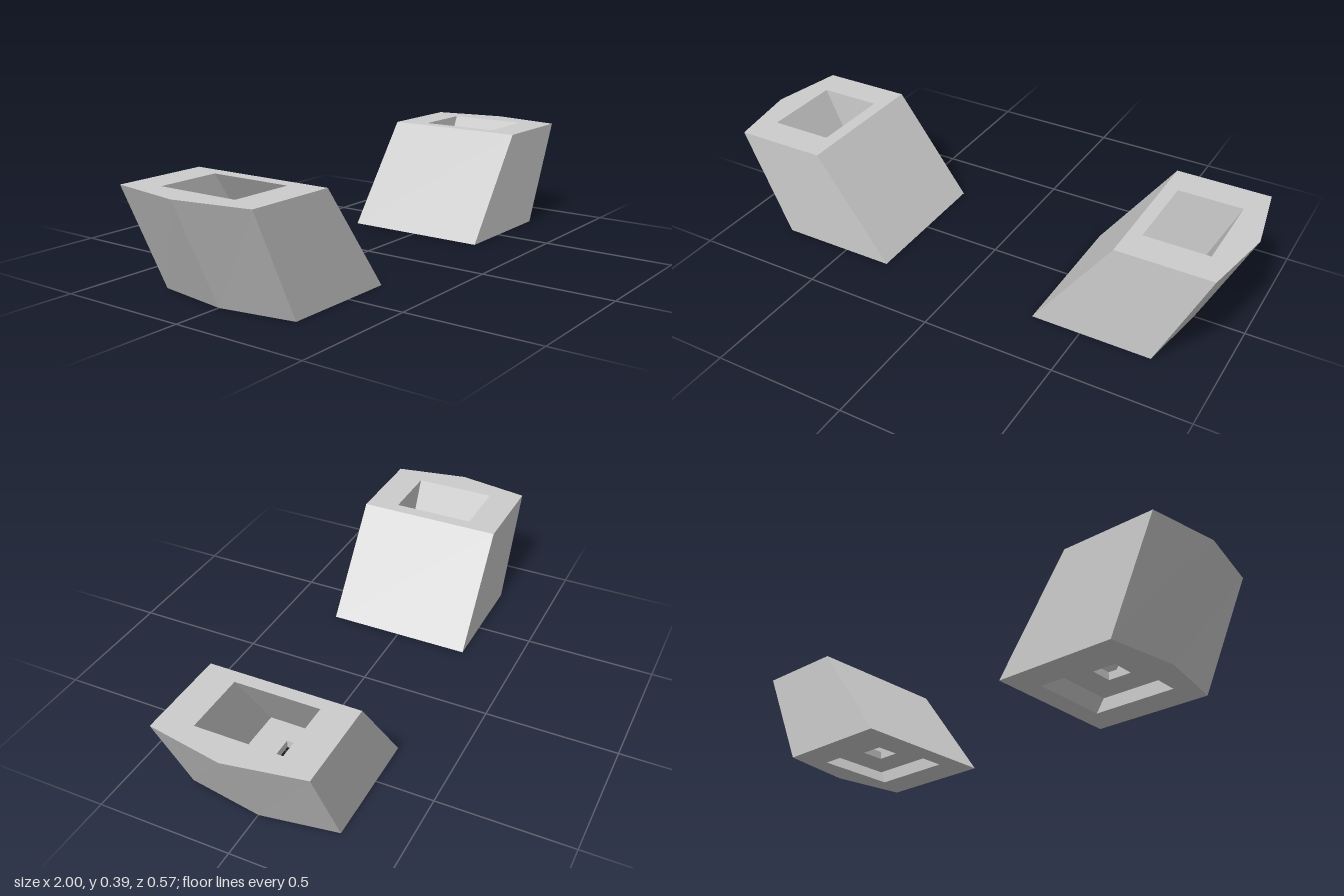
import * as THREE from 'three';

const HEIGHT = 0.393;

// Closed loop of [x, z] corners at height y, walked from the inner back corner.
const loop = (y, corners) => corners.map(([x, z]) => new THREE.Vector3(x, y, z));
const rect = (y, x0, x1, z) => loop(y, [[x0, -z], [x0, z], [x1, z], [x1, -z]]);
const pentagon = (y, x0, x1, tip, z) =>
  loop(y, [[x0, -z], [x0, z], [x1, z], [tip, 0], [x1, -z]]);

// Slanted shaft section at height y.
function shaft(y) {
  const t = y / HEIGHT;
  return rect(y, THREE.MathUtils.lerp(0.39, 0.65, t), THREE.MathUtils.lerp(0.71, 0.89, t), 0.158);
}

function mesh(name, triangles, material) {
  const geometry = new THREE.BufferGeometry().setFromPoints(triangles);
  geometry.computeVertexNormals();
  const m = new THREE.Mesh(geometry, material);
  m.name = name;
  return m;
}

// Walls between two loops: low to high faces outward, high to low faces inward.
function walls(a, b) {
  return a.flatMap((p, i) => {
    const j = (i + 1) % a.length;
    return [p, a[j], b[j], p, b[j], b[i]];
  });
}

// Flat face with an opening, facing up or down.
function face(outer, hole, up) {
  const flat = (l) => l.map((p) => new THREE.Vector2(p.x, p.z));
  const points = [...outer, ...hole];
  return THREE.ShapeUtils.triangulateShape(flat(outer), [flat(hole)]).flatMap((ids) => {
    const [a, b, c] = ids.map((i) => points[i]);
    const normalY = b.clone().sub(a).cross(c.clone().sub(a)).y;
    return (normalY > 0) === up ? [a, b, c] : [a, c, b];
  });
}

export function createModel() {
  const material = new THREE.MeshStandardMaterial({ color: 0xcccccc, flatShading: true });
  const floorY = 0.08;
  const recessY = 0.05;

  const bottom = pentagon(0, 0.313, 0.767, 0.813, 0.284);
  const top = pentagon(HEIGHT, 0.6, 0.95, 1, 0.281);
  const holeLow = rect(recessY, 0.527, 0.617, 0.046);
  const holeHigh = rect(floorY, 0.527, 0.617, 0.046);

  const block = new THREE.Group();
  block.name = 'leftBlock';
  block.add(
    // Leaning five-sided body
    mesh('outerWalls', walls(bottom, top), material),
    mesh('topRim', face(top, shaft(HEIGHT), true), material),
    mesh('bottomRim', face(bottom, shaft(0), false), material),
    // Deep slanted pocket from above
    mesh('pocketWalls', walls(shaft(HEIGHT), shaft(floorY)), material),
    mesh('pocketFloor', face(shaft(floorY), holeHigh, true), material),
    // Shallow recess underneath, with a small square hole through the floor
    mesh('recessWalls', walls(shaft(recessY), shaft(0)), material),
    mesh('recessCeiling', face(shaft(recessY), holeLow, false), material),
    mesh('floorHole', walls(holeHigh, holeLow), material),
  );

  // The block is symmetric front to back, so a half turn gives its partner
  const partner = block.clone();
  partner.name = 'rightBlock';
  partner.rotation.y = Math.PI;

  const model = new THREE.Group();
  model.name = 'blockPair';
  model.add(block, partner);
  return model;
}
